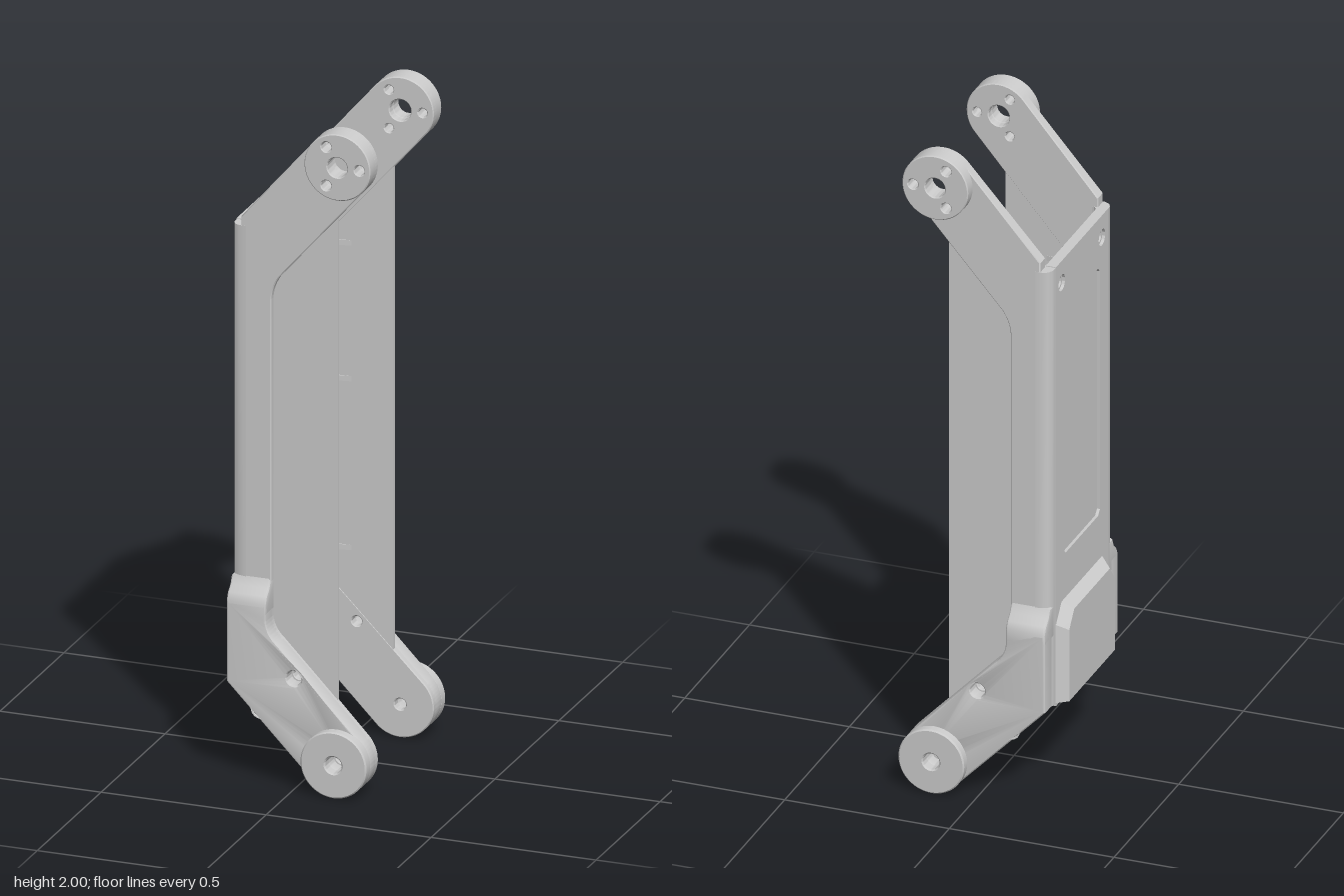
import * as THREE from 'three';
import { toCreasedNormals } from 'three/addons/utils/BufferGeometryUtils.js';

const material = new THREE.MeshStandardMaterial({ color: 0xcccccc });
const UP = [0.13, 1.9], LOW = [0.13, 0.105], R = 0.1;
const BOLTS = [[-0.1, 0.235], [0, 0.34]];

function polygon(points) {
  return new THREE.Shape(points.map(([x, y]) => new THREE.Vector2(x, y)));
}

function disc([x, y], r) {
  return new THREE.Shape().absarc(x, y, r, 0, Math.PI * 2, false);
}

function hole(shape, [x, y], r) {
  shape.holes.push(new THREE.Path().absarc(x, y, r, 0, Math.PI * 2, true));
}

// Extrusion from a to b along z; a bevel stays inside the outline
function slab(shape, a, b, bevel = 0, segments = 3) {
  const g = new THREE.ExtrudeGeometry(shape, {
    depth: b - a - 2 * bevel, curveSegments: 32, bevelEnabled: bevel > 0,
    bevelSize: bevel, bevelThickness: bevel, bevelOffset: -bevel, bevelSegments: segments,
  });
  return g.translate(0, 0, a + bevel);
}

// Extrusion of an (x, z) section upwards from y = a to y = b
function column(points, a, b) {
  const g = slab(polygon(points.map(([x, z]) => [x, -z])), a, b);
  return g.rotateX(-Math.PI / 2);
}

// Slight draft on the inner face of the side plates
function draft(g, middle) {
  const p = g.attributes.position;
  for (let i = 0; i < p.count; i++) {
    if (p.getZ(i) < middle) p.setZ(i, p.getZ(i) + (p.getX(i) + 0.18) * 0.033);
  }
  return g;
}

// Mirror across z = 0 with the winding restored
function mirrored(source) {
  const g = source.clone().scale(1, 1, -1);
  const p = g.attributes.position, a = new THREE.Vector3(), b = new THREE.Vector3();
  for (let i = 0; i < p.count; i += 3) {
    a.fromBufferAttribute(p, i);
    b.fromBufferAttribute(p, i + 2);
    p.setXYZ(i, b.x, b.y, b.z);
    p.setXYZ(i + 2, a.x, a.y, a.z);
  }
  return g;
}

function add(parent, name, geometry) {
  const g = geometry.index ? geometry.toNonIndexed() : geometry;
  g.computeVertexNormals();
  const mesh = new THREE.Mesh(toCreasedNormals(g, 0.5), material);
  mesh.name = name;
  parent.add(mesh);
}

function flangeBolts(shape, r) {
  for (let i = 0; i < 3; i++) {
    const t = i * Math.PI * 2 / 3;
    hole(shape, [UP[0] + 0.067 * Math.cos(t), UP[1] + 0.067 * Math.sin(t)], r);
  }
}

function sideParts() {
  const parts = [];

  // Raised band running through both arms
  const band = new THREE.Shape();
  band.absarc(...UP, R, -0.69, 2.45, false);
  band.lineTo(-0.175, 1.7);
  band.lineTo(-0.175, 0.28);
  band.absarc(...LOW, R, -Math.PI * 0.75, Math.PI / 4, false);
  band.lineTo(-0.05, 0.435);
  band.quadraticCurveTo(-0.085, 0.465, -0.085, 0.51);
  band.lineTo(-0.085, 1.45);
  band.quadraticCurveTo(-0.085, 1.495, -0.06, 1.53);
  hole(band, UP, 0.032);
  flangeBolts(band, 0.013);
  hole(band, LOW, 0.017);
  BOLTS.forEach((c) => hole(band, c, 0.015));
  parts.push(['armBand', draft(slab(band, 0.203, 0.243, 0.003, 1), 0.225)]);

  // Thin front panel
  const panel = polygon([[-0.13, 0.45], [-0.02, 0.39], [0.11, 0.25], [0.11, 1.75], [-0.13, 1.45]]);
  parts.push(['sidePanel', draft(slab(panel, 0.204, 0.223), 0.215)]);

  // Rounded rear corner with inner fillet
  const corner = [[-0.16, 0.2], [-0.16, 0.244], [-0.182, 0.243], [-0.196, 0.236],
    [-0.204, 0.222], [-0.205, 0.205], [-0.205, 0.18], [-0.175, 0.18], [-0.172, 0.194], [-0.165, 0.202], [-0.15, 0.205]];
  parts.push(['rearCorner', column(corner, 0.3, 1.672)]);

  // Thick pad over the lower arm, with a ramp at its top
  const pad = new THREE.Shape();
  pad.moveTo(-0.205, 0.55);
  pad.lineTo(-0.205, 0.305);
  pad.absarc(...LOW, R, -Math.PI * 0.75, Math.PI / 4, false);
  pad.lineTo(-0.05, 0.435);
  pad.quadraticCurveTo(-0.085, 0.465, -0.085, 0.51);
  pad.lineTo(-0.085, 0.55);
  hole(pad, LOW, 0.024);
  BOLTS.forEach((c) => hole(pad, c, 0.022));
  parts.push(['lowerArmPad', slab(pad, 0.225, 0.285, 0.008)]);
  const ramp = polygon([[-0.21, 0.515], [-0.285, 0.515], [-0.285, 0.55], [-0.275, 0.572], [-0.255, 0.59], [-0.243, 0.615], [-0.21, 0.615]]);
  parts.push(['padRamp', slab(ramp, -0.205, -0.085, 0.008).rotateY(Math.PI / 2)]);

  // Pivot bosses
  const upper = disc(UP, R);
  hole(upper, UP, 0.03);
  flangeBolts(upper, 0.015);
  parts.push(['upperBoss', slab(upper, 0.235, 0.28, 0.003, 1)]);
  const lower = disc(LOW, R);
  hole(lower, LOW, 0.025);
  parts.push(['lowerBoss', slab(lower, 0.275, 0.312, 0.004, 1)]);

  // Stiffening ribs on the inside
  for (const y of [0.56, 1.07, 1.48]) {
    const rib = [[-0.18, 0.183], [-0.18, 0.212], [0, 0.212]];
    parts.push(['rib', column(rib, y - 0.008, y + 0.008)]);
  }

  // Mounting bracket on the web
  const bracket = polygon([[-0.21, 0.77], [-0.1, 0.77], [-0.092, 0.778], [-0.092, 0.842], [-0.1, 0.85], [-0.21, 0.85]]);
  hole(bracket, [-0.145, 0.81], 0.014);
  parts.push(['bracket', slab(bracket, -0.18, -0.115).rotateY(Math.PI / 2)]);
  return parts;
}

export function createModel() {
  const model = new THREE.Group();
  model.name = 'linkArm';

  // Both side frames
  const left = new THREE.Group(), right = new THREE.Group();
  left.name = 'frontSide';
  right.name = 'rearSide';
  for (const [name, geometry] of sideParts()) {
    add(left, name, geometry);
    add(right, name, mirrored(geometry));
  }
  model.add(left, right);

  // Connecting web: inner sheet and outer frame around a shallow recess
  const outline = [[-0.2, 0.29], [0.2, 0.29], [0.2, 1.674], [-0.2, 1.674]];
  const sheet = polygon(outline), frame = polygon(outline);
  for (const z of [-0.155, 0.155]) {
    hole(sheet, [z, 1.605], 0.018);
    hole(frame, [z, 1.605], 0.025);
  }
  frame.holes.push(polygon([[-0.14, 0.755], [-0.14, 1.505], [-0.125, 1.52], [0.125, 1.52],
    [0.14, 1.505], [0.14, 0.755], [0.125, 0.74], [-0.125, 0.74]]));
  add(model, 'webSheet', slab(sheet, -0.197, -0.175).rotateY(Math.PI / 2));
  add(model, 'webFrame', slab(frame, -0.206, -0.197).rotateY(Math.PI / 2));

  // Chamfered cover low on the back of the web
  const cover = polygon([[-0.205, 0.3], [0.205, 0.3], [0.205, 0.55], [0.16, 0.605], [-0.16, 0.605], [-0.205, 0.55]]);
  const g = slab(cover, -0.237, -0.2);
  const p = g.attributes.position;
  for (let i = 0; i < p.count; i++) {
    if (p.getZ(i) < -0.22) p.setXY(i, p.getX(i) * 0.86, 0.3 + (p.getY(i) - 0.3) * 0.9);
  }
  add(model, 'backCover', g.rotateY(Math.PI / 2));
  return model;
}
